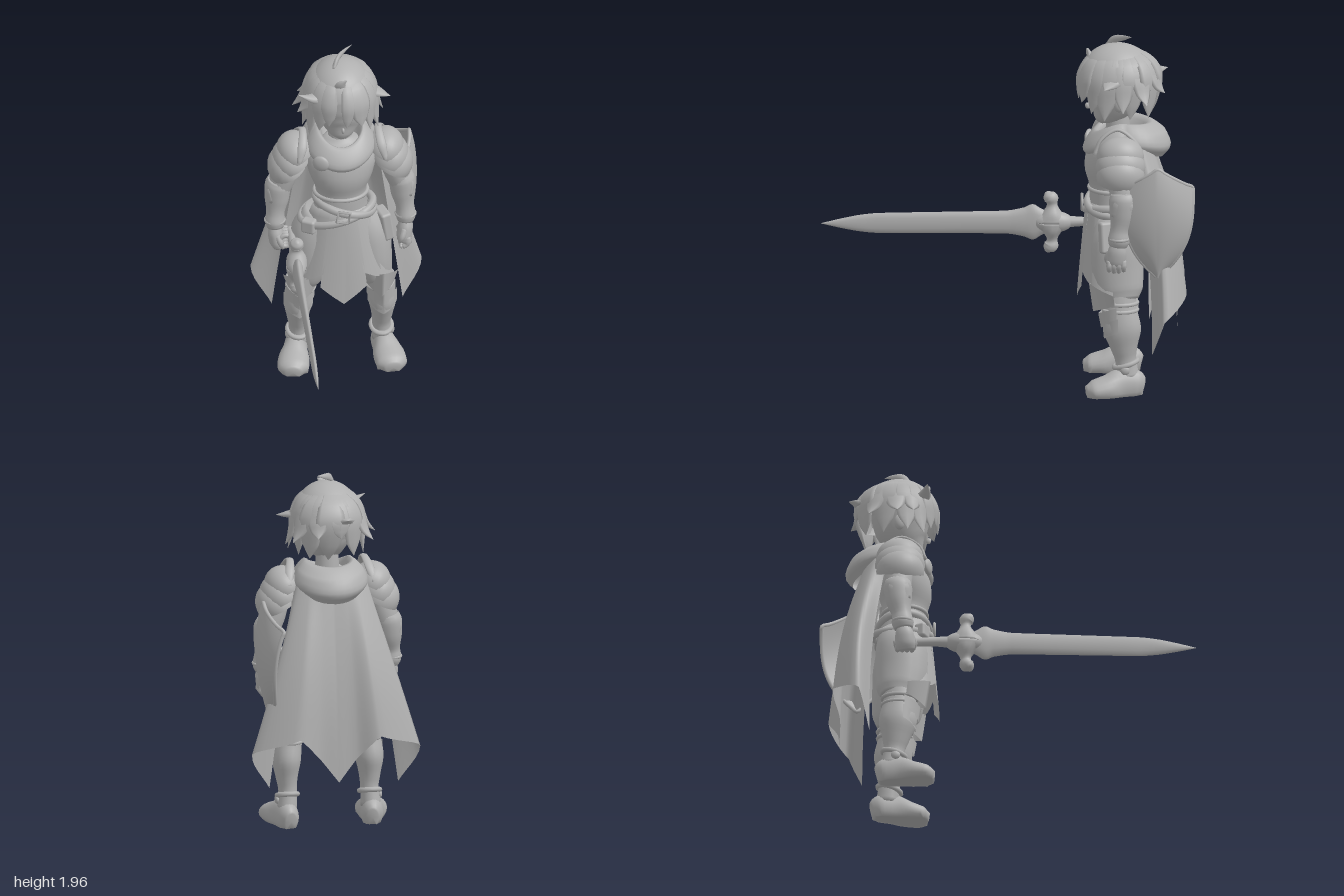
import * as THREE from 'three';
import { RoundedBoxGeometry } from 'three/addons/geometries/RoundedBoxGeometry.js';
import { ParametricGeometry } from 'three/addons/geometries/ParametricGeometry.js';

const V = (x, y, z) => new THREE.Vector3(x, y, z);
const lerp = THREE.MathUtils.lerp;
const { sin, cos, abs, max, min, PI } = Math;

// Closed skin over elliptical sections [x, y, z, a, b]; a lies along side
function loft(rows, n = 16, steps = 4, side = V(1, 0, 0)) {
  const path = new THREE.CatmullRomCurve3(rows.map(r => V(r[0], r[1], r[2])));
  const size = new THREE.CatmullRomCurve3(rows.map(r => V(r[3], r[4], 0)));
  const m = (rows.length - 1) * steps, pos = [], idx = [];
  for (let i = 0; i <= m; i++) {
    const t = i / m, p = path.getPoint(t), r = size.getPoint(t);
    const T = path.getPoint(min(1, t + 0.01)).sub(path.getPoint(max(0, t - 0.01))).normalize();
    const S = side.clone().addScaledVector(T, -side.dot(T)).normalize();
    const B = T.clone().cross(S);
    for (let j = 0; j < n; j++) {
      const a = j / n * PI * 2;
      pos.push(...p.clone().addScaledVector(S, max(r.x, 0) * cos(a)).addScaledVector(B, max(r.y, 0) * sin(a)).toArray());
      const q = i * n + j, s = i * n + (j + 1) % n;
      if (i < m) idx.push(q, s, s + n, q, s + n, q + n);
    }
  }
  const c = (m + 1) * n;
  pos.push(...path.getPoint(0).toArray(), ...path.getPoint(1).toArray());
  for (let j = 0; j < n; j++) {
    const k = (j + 1) % n;
    idx.push(c, k, j, c + 1, m * n + j, m * n + k);
  }
  const g = new THREE.BufferGeometry();
  g.setAttribute('position', new THREE.Float32BufferAttribute(pos, 3));
  g.setIndex(idx);
  g.computeVertexNormals();
  return g;
}
const sheet = (fn, nu, nv) => new ParametricGeometry((u, v, t) => t.set(...fn(u, v)), nu, nv);

export function createModel() {
  const model = new THREE.Group();
  model.name = 'swordBearer';
  const grey = new THREE.MeshStandardMaterial({ color: 0xb0b0b0, side: THREE.DoubleSide });
  grey.name = 'grey';
  const add = (name, geo, parent = model, p = [0, 0, 0], r = [0, 0, 0], s = [1, 1, 1]) => {
    const mesh = new THREE.Mesh(geo, grey);
    mesh.name = name;
    mesh.position.set(...p); mesh.rotation.set(...r); mesh.scale.set(...s);
    parent.add(mesh);
  };
  const group = name => {
    const g = new THREE.Group();
    g.name = name;
    model.add(g);
    return g;
  };
  const ball = new THREE.SphereGeometry(1, 20, 14);

  // Head and face
  add('head', loft([[0, 1.465, -.5, .02, .02], [0, 1.485, -.51, .055, .05], [0, 1.54, -.545, .105, .11],
    [0, 1.62, -.575, .14, .15], [0, 1.75, -.59, .155, .165], [0, 1.85, -.6, .09, .09]], 24));
  add('nose', ball, model, [0, 1.555, -.435], [.3, 0, 0], [.009, .018, .014]);
  add('neck', new THREE.CylinderGeometry(.06, .07, .16, 16), model, [0, 1.45, -.6]);
  for (const s of [-1, 1]) add('ear', ball, model, [s * .142, 1.6, -.6], [0, 0, 0], [.02, .045, .03]);

  // Hair: cap and tapered locks [base angle, tip x, y, z, half width]
  const hair = group('hair');
  add('hairCap', new THREE.SphereGeometry(1, 32, 20, 0, PI * 2, 0, PI * .54), hair, [0, 1.71, -.605], [-.3, 0, 0], [.183, .192, .213]);
  const skull = (deg, up, k) => {
    const a = deg * PI / 180;
    return [k * .183 * cos(up) * sin(a), 1.71 + k * .19 * sin(up), -.605 + k * .213 * cos(up) * cos(a)];
  };
  const lock = (deg, tip, w) => {
    const a = deg * PI / 180, m = skull(deg, .1, 1.02);
    const near = [lerp(m[0], tip[0], .4), lerp(m[1], tip[1], .6), lerp(m[2], tip[2], .4)];
    add('lock', loft([[...skull(deg, 1, .96), w * .4, .004], [...skull(deg, .55, 1), w * .8, .012], [...m, w, .018],
      [...near, w * .7, .014], [...tip, .001, .001]], 8, 4, V(cos(a), 0, -sin(a))), hair);
  };
  for (const [deg, x, y, z, w] of [
    [8, .015, 1.6, -.385, .04], [-26, -.08, 1.61, -.4, .05], [30, .1, 1.6, -.4, .065], [-42, -.13, 1.57, -.43, .06],
    [52, .15, 1.55, -.45, .06], [-62, -.18, 1.52, -.47, .06], [70, .2, 1.52, -.52, .07], [-80, -.21, 1.53, -.56, .07],
    [78, .265, 1.71, -.52, .055], [-72, -.24, 1.63, -.53, .055], [95, .235, 1.57, -.62, .06], [-95, -.26, 1.62, -.62, .06],
    [108, .17, 1.52, -.66, .07], [-110, -.18, 1.52, -.69, .07], [122, .22, 1.61, -.75, .06], [-125, -.22, 1.61, -.77, .06],
    [138, .13, 1.52, -.76, .075], [-146, -.11, 1.53, -.78, .075], [152, .1, 1.65, -.85, .06], [-162, -.06, 1.75, -.87, .05],
    [172, .03, 1.51, -.77, .08], [-172, -.03, 1.64, -.83, .065]])
    lock(deg, [x, y, z], w);
  add('crownTuft', loft([[-.04, 1.88, -.55, .012, .02], [-.02, 1.92, -.58, .012, .022], [.02, 1.94, -.63, .008, .015], [.07, 1.955, -.67, .001, .001]], 8), hair);
  add('sideTuft', loft([[-.12, 1.74, -.49, .05, .03], [-.17, 1.755, -.465, .035, .018], [-.24, 1.785, -.455, .001, .001]], 8, 4, V(0, 0, 1)), hair);
  add('frontTuft', loft([[-.01, 1.81, -.46, .04, .02], [-.01, 1.85, -.44, .03, .014], [.02, 1.88, -.43, .001, .001]], 8), hair);

  // Torso, cowl and clasp
  add('torso', loft([[0, .9, -.59, .165, .14], [0, 1.04, -.57, .14, .125], [0, 1.12, -.565, .138, .122],
    [0, 1.22, -.56, .172, .142], [0, 1.3, -.57, .19, .138], [0, 1.38, -.6, .15, .1], [0, 1.43, -.61, .07, .07]], 28));
  add('breastplateRim', new THREE.TorusGeometry(.143, .012, 8, 36), model, [0, 1.1, -.565], [PI / 2, 0, 0], [1, .86, 1]);
  const collar = new THREE.CatmullRomCurve3([V(.09, 1.4, 0), V(.118, 1.485, 0), V(.16, 1.45, 0), V(.19, 1.38, 0), V(.15, 1.34, 0)]);
  add('cowl', sheet((u, v) => {
    const a = u * PI * 2, p = collar.getPoint(v), f = max(0, cos(a)), b = max(0, -cos(a));
    const r = p.x + b * .075 * min(1, v * 2) + f * .022;
    return [r * sin(a), p.y - f * f * .065 - b * b * .06 * v, -.62 + r * cos(a)];
  }, 40, 14));
  add('clasp', ball, model, [-.12, 1.345, -.445], [0, -.4, 0], [.046, .046, .02]);

  // Cape: columns [top x, top z, hem x, y, z] from a shoulder line to a jagged hem
  const half = [[0, -.775, 0, .3, -.92], [.06, -.775, .1, .43, -.92], [.12, -.76, .22, .56, -.965],
    [.18, -.72, .465, .46, -.84], [.195, -.66, .355, .25, -.775]];
  const cols = [...half.slice(1).reverse().map(c => [-c[0], c[1], -c[2], c[3], c[4]]), ...half];
  const capeTop = new THREE.CatmullRomCurve3(cols.map(c => V(c[0], 1.4, c[1])));
  const capeHem = new THREE.CatmullRomCurve3(cols.map(c => V(c[2], 0, c[4])));
  add('cape', sheet((u, v) => {
    const k = min(7, Math.floor(u * 8)), a = capeTop.getPoint(u), b = capeHem.getPoint(u);
    const hem = lerp(cols[k][3], cols[k + 1][3], u * 8 - k);
    return [lerp(a.x, b.x, v), lerp(1.4, hem, v), lerp(a.z, b.z, v) - .035 * sin(v * PI)];
  }, 48, 16));

  // Tunic skirt: pointed flaps around the waist
  const flap = (name, a0, a1, yL, yR, tip, out = 0) => add(name, sheet((u, v) => {
    const a = lerp(a0, a1, u), w = v ** .85;
    return [lerp(.15, .28, w) * sin(a) * (1 + out), lerp(1.03, lerp(yL, yR, u) - tip * (1 - abs(2 * u - 1)), v),
      lerp(-.57, -.59, w) + (lerp(.135, .205, w) + out * .2) * cos(a)];
  }, 12, 10));
  flap('frontFlap', -.45, .45, .58, .58, .1, .04);
  for (const s of [-1, 1]) {
    flap('innerSideFlap', s * .4, s * .95, .66, .59, .01);
    flap('outerSideFlap', s * .85, s * 1.45, .6, .54, .02, .03);
  }

  // Crossed belts, buckle and pouches
  add('upperBelt', new THREE.TorusGeometry(.16, .024, 8, 40), model, [.02, 1.02, -.57], [PI / 2, -.26, 0], [1, .86, 1]);
  add('slungBelt', new THREE.TorusGeometry(.19, .022, 8, 40), model, [-.02, .97, -.58], [PI / 2, .24, 0], [1.05, .82, 1]);
  add('buckle', new THREE.TorusGeometry(.045, .009, 6, 4), model, [0, 1.015, -.405], [0, 0, PI / 4 - .2]);
  add('leftPouch', new RoundedBoxGeometry(.06, .17, .12, 2, .015), model, [.235, .88, -.55], [0, .3, .15]);
  add('rightPouch', new RoundedBoxGeometry(.08, .08, .06, 2, .015), model, [-.18, .93, -.48], [0, -.5, 0]);

  // Arms and legs, one side mirrored
  for (const s of [1, -1]) {
    const limb = group(s > 0 ? 'leftLimbs' : 'rightLimbs');
    limb.scale.x = s;
    const dome = new THREE.SphereGeometry(1, 24, 12, 0, PI * 2, 0, PI * .55);
    add('pauldronLower', dome, limb, [.288, 1.235, -.605], [0, 0, -.42], [.105, .12, .13]);
    add('pauldronMiddle', dome, limb, [.265, 1.28, -.605], [0, 0, -.45], [.106, .118, .135]);
    add('pauldronTop', dome, limb, [.243, 1.335, -.605], [0, 0, -.45], [.103, .11, .128]);
    add('pauldronCrest', loft([[.235, 1.36, -.72, .015, .01], [.22, 1.43, -.67, .025, .01], [.205, 1.475, -.59, .02, .01],
      [.215, 1.42, -.5, .025, .01], [.235, 1.34, -.465, .012, .01]], 10, 5), limb);
    add('upperArm', loft([[.22, 1.35, -.61, .07, .08], [.275, 1.27, -.61, .07, .075], [.305, 1.18, -.615, .072, .074], [.335, 1.08, -.62, .06, .065]]), limb);
    add('gauntlet', loft([[.33, 1.15, -.62, .06, .07], [.337, 1.11, -.62, .072, .078], [.343, 1.03, -.615, .066, .07],
      [.352, .95, -.6, .05, .053], [.355, .9, -.595, .055, .06], [.353, .865, -.59, .045, .05]]), limb);
    add('elbowGuard', loft([[.37, 1.03, -.61, .03, .06], [.385, 1.1, -.62, .022, .06], [.385, 1.165, -.63, .002, .004]], 10), limb);
    add('wristBand', new THREE.TorusGeometry(.05, .01, 8, 24), limb, [.355, .905, -.596], [PI / 2, 0, 0]);
    add('hand', loft([[.352, .88, -.59, .032, .035], [.352, .83, -.585, .042, .052], [.345, .78, -.58, .042, .055], [.335, .745, -.575, .03, .045]], 14), limb);
    for (let i = 0; i < 4; i++) {
      const z = -.62 + i * .026;
      if (s > 0) add('finger', loft([[.36, .785, z, .016, .014], [.358, .74, z, .016, .014], [.335, .712 + abs(i - 1.5) * .008, z, .013, .013], [.318, .73, z, .008, .01]], 8), limb);
      else add('finger', new THREE.TorusGeometry(.034, .014, 8, 16, PI * 1.5), limb, [.3, .8, z], [0, 0, -PI * .9]);
    }
    add('thumb', loft([[.345, .83, -.55, .018, .018], [.33, .79, -.53, .016, .016], [.315, .755, -.535, .008, .008]], 8), limb);

    add('shorts', loft([[.1, .95, -.59, .09, .12], [.145, .82, -.59, .125, .14], [.165, .68, -.59, .115, .142],
      [.185, .575, -.6, .1, .13], [.2, .52, -.605, .08, .1]], 20), limb);
    add('greave', loft([[.2, .6, -.6, .07, .09], [.215, .48, -.605, .074, .09], [.228, .37, -.615, .078, .104],
      [.229, .27, -.625, .06, .076], [.226, .19, -.635, .05, .058], [.232, .09, -.645, .055, .065]], 18), limb);
    // Pointed plates stacked from knee to shin
    for (let i = 0; i < 3; i++) add('kneePlate', sheet((u, v) => {
      const a = lerp(-1.25, 1.25, u), ridge = 1 - abs(2 * u - 1), r = (i ? .084 : .108) - (i ? 0 : .02 * v);
      return [.212 + i * .008 + r * sin(a), (i ? .54 : .57) - i * .06 - (i ? .08 : .06) * v - .05 * ridge * (i ? 1 : v) + (i ? .02 : .05 * (1 - v) * ridge),
        -.605 - i * .008 + r * 1.15 * cos(a) + ridge * ridge * (.045 - i * .015) * (i ? 1 - v * .5 : 1)];
    }, 16, 4), limb);
    for (const y of [.47, .51]) add('legStrap', new THREE.TorusGeometry(.074, .011, 8, 24), limb, [.214, y, -.606], [PI / 2, 0, 0], [1, 1.22, 1]);
    add('ankleCuff', new THREE.TorusGeometry(.055, .014, 8, 24), limb, [.227, .17, -.635], [PI / 2 + .3, 0, 0], [1, 1.15, 1]);
    add('ankleStud', ball, limb, [.283, .145, -.63], [0, 0, 0], [.014, .025, .025]);
    const foot = loft([[.225, .04, -.73, .03, .05], [.23, .05, -.69, .058, .085], [.243, .05, -.61, .066, .095],
      [.258, .04, -.53, .086, .07], [.268, .03, -.46, .084, .055], [.272, .025, -.42, .04, .03]], 20);
    const fp = foot.attributes.position;
    for (let i = 0; i < fp.count; i++) if (fp.getY(i) < .012) fp.setY(i, 0);
    foot.computeVertexNormals();
    add('boot', foot, limb);
  }

  // Sword pointing forward, with a knobbed cross guard
  const sword = group('sword');
  sword.position.set(-.27, .83, 0);
  add('blade', loft([[0, 0, -.24, .024, .05], [0, 0, -.19, .028, .075], [0, 0, -.145, .028, .1], [0, 0, -.1, .026, .082], [0, 0, 0, .021, .064],
    [0, 0, .35, .017, .06], [0, 0, .7, .015, .056], [0, 0, .8, .014, .045], [0, 0, .9, .01, .025], [0, 0, 1, .001, .001]], 12, 3), sword);
  for (const s of [-1, 1]) add('crossGuard', loft([[0, 0, -.25, .058, .1], [0, s * .05, -.25, .052, .055], [0, s * .1, -.25, .03, .028],
    [0, s * .13, -.245, .038, .04], [0, s * .15, -.23, .034, .032], [0, s * .168, -.22, .008, .01]], 16), sword);
  add('guardBoss', ball, sword, [0, 0, -.255], [0, 0, 0], [.056, .06, .11]);
  add('grip', loft([[0, -.02, -.64, .018, .018], [0, -.015, -.61, .03, .03], [0, -.01, -.57, .022, .024], [0, 0, -.42, .024, .026], [0, 0, -.32, .03, .034]], 12), sword);

  // Curved pointed shield on the left arm
  const shieldAt = (u, v, off = 0) => [.46 - .075 * u * u * (1 - v * .5) - .085 * v * v - .055 * (1 - v) ** 3 - off,
    1.3 - .12 * abs(u) * (1 - v) - .62 * v, -.805 + .19 * u * (1 - v ** 3)];
  const shield = group('shield');
  for (const off of [0, .02]) add(off ? 'shieldBack' : 'shieldFace', sheet((u, v) => shieldAt(2 * u - 1, v, off), 20, 20), shield);
  const outline = [];
  for (let i = 0; i <= 10; i++) outline.push(V(...shieldAt(-1 + i / 5, 0, .01)));
  for (let i = 1; i <= 20; i++) outline.push(V(...shieldAt(1, i / 20, .01)));
  for (let i = 19; i > 0; i--) outline.push(V(...shieldAt(-1, i / 20, .01)));
  add('shieldRim', new THREE.TubeGeometry(new THREE.CatmullRomCurve3(outline, true), 120, .011, 8, true), shield);
  return model;
}
